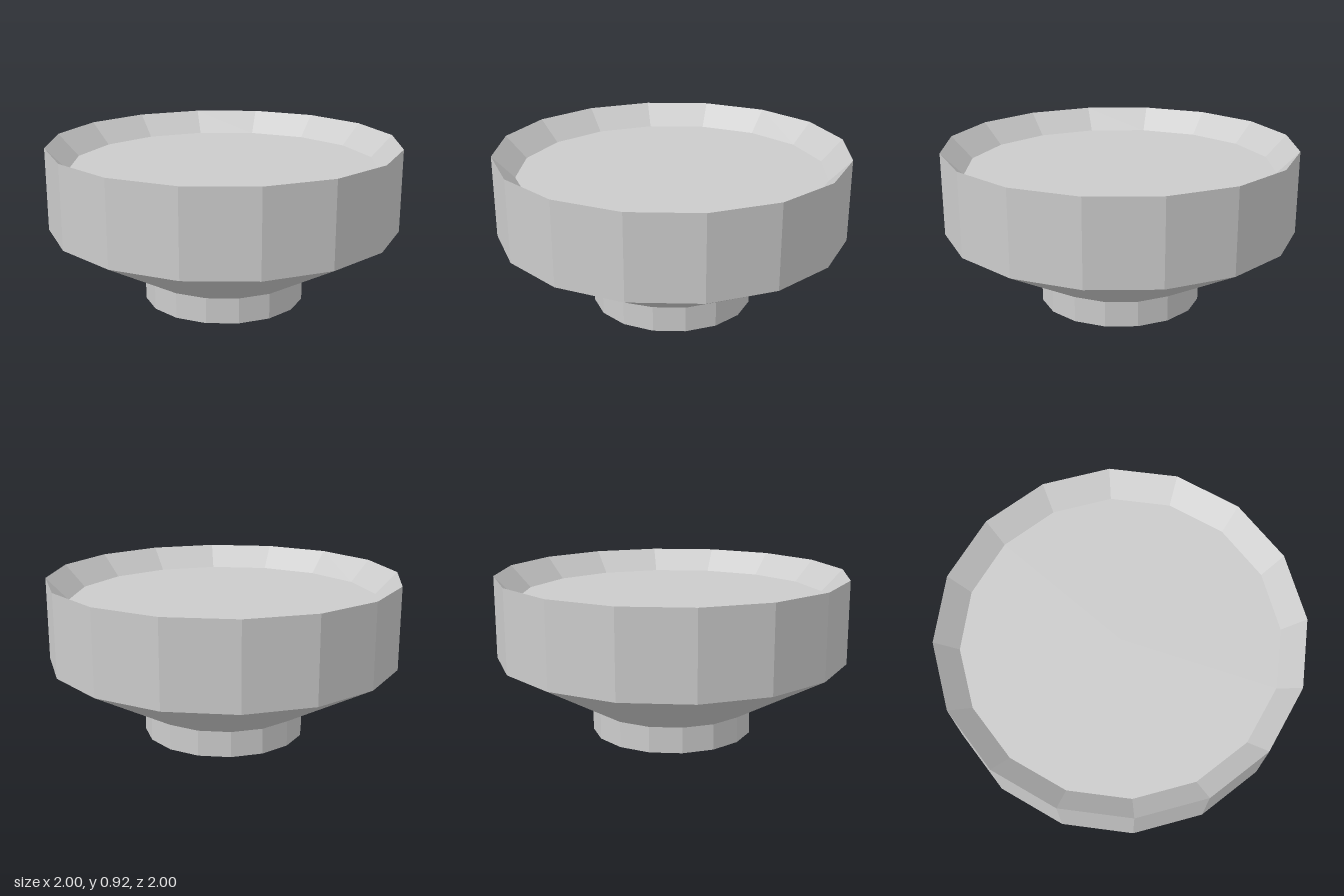
import * as THREE from 'three';

const SIDES = 16;

// Faceted ring surface turned from a short profile of [radius, height] points
function turned(name, profile, material) {
  const points = profile.map(([r, y]) => new THREE.Vector2(r, y));
  const mesh = new THREE.Mesh(new THREE.LatheGeometry(points, SIDES), material);
  mesh.name = name;
  return mesh;
}

// Flat polygon facing up or down
function disc(name, radius, y, facing, material) {
  const geometry = new THREE.CircleGeometry(radius, SIDES);
  geometry.rotateX(-facing * Math.PI / 2);
  const mesh = new THREE.Mesh(geometry, material);
  mesh.position.y = y;
  mesh.name = name;
  return mesh;
}

export function createModel() {
  const group = new THREE.Group();
  group.name = 'bowl';
  const material = new THREE.MeshStandardMaterial({ color: 0xcccccc, flatShading: true });

  // Short foot, closed underneath
  group.add(turned('foot', [[0.463, 0], [0.463, 0.147]], material));
  group.add(disc('footBase', 0.463, 0, -1, material));

  // Flared underside and upright wall
  group.add(turned('flare', [[0.463, 0.147], [1, 0.45]], material));
  group.add(turned('wall', [[1, 0.45], [1, 0.917]], material));

  // Sharp rim sloping inward to the flat floor
  group.add(turned('innerRim', [[1, 0.917], [0.878, 0.79]], material));
  group.add(disc('floor', 0.878, 0.79, 1, material));

  return group;
}
